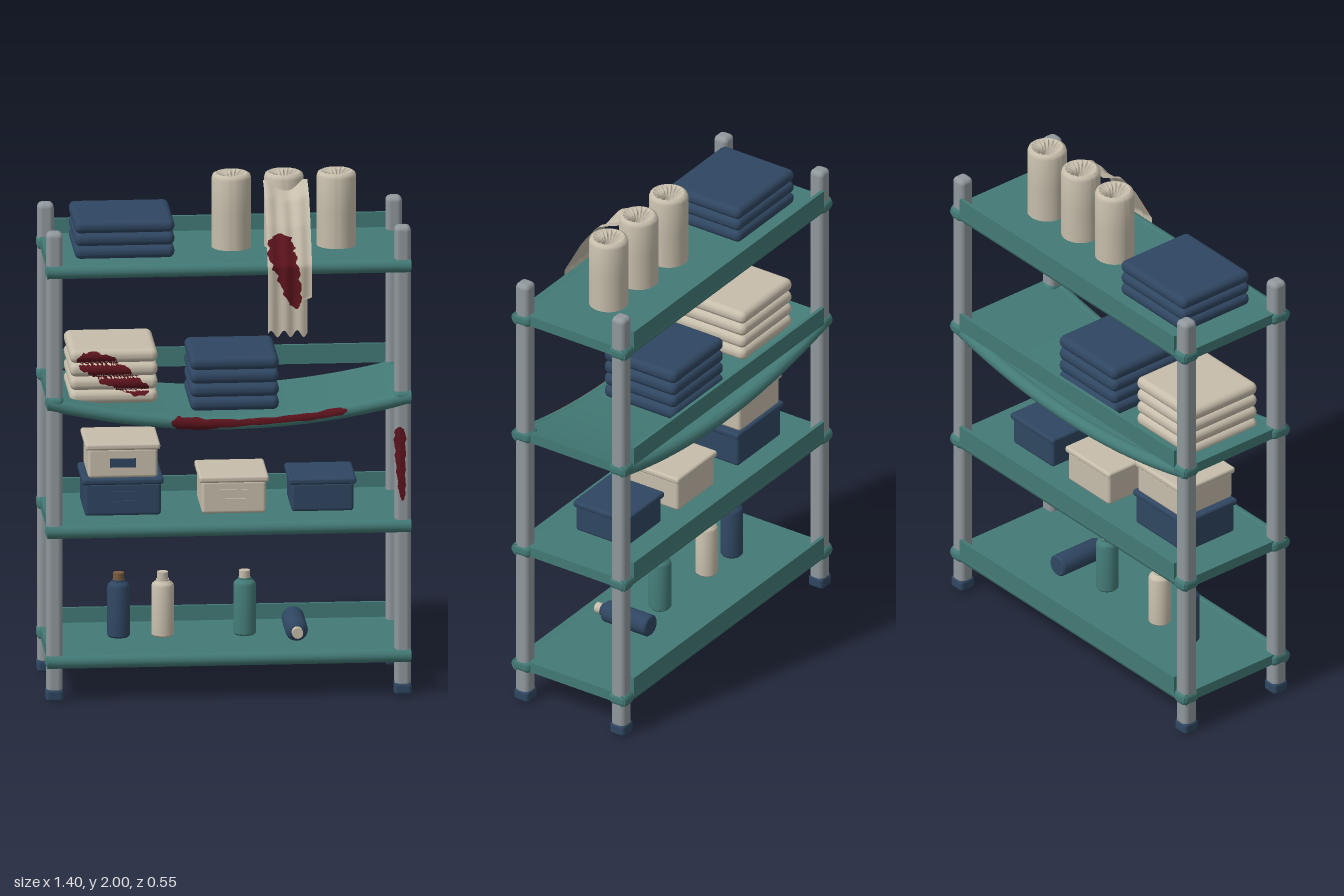
import * as THREE from 'three';
import { RoundedBoxGeometry } from 'three/addons/geometries/RoundedBoxGeometry.js';
import { toCreasedNormals } from 'three/addons/utils/BufferGeometryUtils.js';

const mat = (color, side = THREE.FrontSide) => new THREE.MeshStandardMaterial({ color, side });
const TEAL = mat(0x437a76), NAVY = mat(0x2f4661), BEIGE = mat(0xc6bdab), GREY = mat(0x90989d);
const BROWN = mat(0x7b5b41), RED = mat(0x5c131d, THREE.DoubleSide), CLOTH = mat(0xc6bdab, THREE.DoubleSide);

const POST_X = 0.663, FRONT_Z = 0.207, BACK_Z = -0.236;
const SAG_Y = 1.17;
const sag = (x) => -0.088 * (1 - Math.min(1, (x / 0.69) ** 2));

function add(parent, name, geometry, material, x = 0, y = 0, z = 0) {
  const mesh = new THREE.Mesh(geometry, material);
  mesh.name = name;
  mesh.position.set(x, y, z);
  parent.add(mesh);
  return mesh;
}

function group(parent, name) {
  const g = new THREE.Group();
  g.name = name;
  parent.add(g);
  return g;
}

// Moves every vertex by a rule
function warp(geometry, rule) {
  const p = geometry.attributes.position, v = new THREE.Vector3();
  for (let i = 0; i < p.count; i++) {
    v.fromBufferAttribute(p, i);
    rule(v);
    p.setXYZ(i, v.x, v.y, v.z);
  }
  geometry.computeVertexNormals();
  return geometry;
}

// Shelf: deck, rolled front and back rails, post collars and a back lip
function addShelf(parent, y, bend) {
  const g = group(parent, 'shelf');
  const shape = (geo) => (bend ? warp(geo, (v) => { v.y += sag(v.x); }) : geo);
  add(g, 'shelfDeck', shape(new THREE.BoxGeometry(1.37, 0.042, 0.46, 32, 1, 1)), TEAL, 0, y + 0.004, -0.012);
  for (const z of [0.224, -0.247]) {
    const rail = new THREE.CylinderGeometry(0.027, 0.027, 1.385, 16, 32).rotateZ(Math.PI / 2);
    add(g, 'shelfRail', toCreasedNormals(shape(rail), 0.7), TEAL, 0, y, z);
  }
  for (const x of [-POST_X, POST_X]) for (const z of [FRONT_Z, BACK_Z])
    add(g, 'postCollar', new RoundedBoxGeometry(0.07, 0.055, 0.082, 3, 0.022), TEAL, x, y, z);
  add(g, 'backLip', new THREE.BoxGeometry(1.27, 0.075, 0.014), TEAL, 0, y + 0.045, -0.268);
}

// Stack of folded towels with rounded edges
function addTowels(parent, name, material, x, y, z, w, d, count, step) {
  const g = group(parent, name);
  for (let i = 0; i < count; i++)
    add(g, 'foldedTowel', new RoundedBoxGeometry(w, step, d, 5, step * 0.46), material, x, y + step * (i + 0.5), z);
}

// Lidded storage box with an optional handle frame or solid plate
function addBox(parent, material, x, y, w, h, d, handle) {
  const g = group(parent, 'storageBox');
  g.position.set(x, y, -0.019);
  add(g, 'boxBody', new RoundedBoxGeometry(w - 0.02, h - 0.02, d - 0.015, 3, 0.012), material, 0, (h - 0.02) / 2, 0);
  add(g, 'boxLid', new RoundedBoxGeometry(w, 0.026, d, 3, 0.01), material, 0, h - 0.013, 0);
  const hz = (d - 0.015) / 2, hy = h * 0.5;
  if (handle === 'plate') add(g, 'handlePlate', new THREE.BoxGeometry(0.1, 0.034, 0.012), NAVY, 0, hy - 0.008, hz);
  if (handle === 'frame') {
    for (const s of [-1, 1]) {
      add(g, 'handleFrame', new THREE.BoxGeometry(0.105, 0.006, 0.012), material, 0, hy + s * 0.018, hz);
      add(g, 'handleFrame', new THREE.BoxGeometry(0.006, 0.04, 0.012), material, s * 0.05, hy, hz);
    }
  }
}

// Lathed bottle with a cap
function addBottle(parent, x, y, z, material, capMaterial) {
  const g = group(parent, 'bottle');
  g.position.set(x, y, z);
  const profile = [[0, 0], [0.038, 0], [0.043, 0.006], [0.043, 0.195], [0.04, 0.204], [0.025, 0.216], [0.025, 0.222], [0, 0.222]];
  const body = new THREE.LatheGeometry(profile.map(([r, h]) => new THREE.Vector2(r, h)), 24);
  add(g, 'bottleBody', toCreasedNormals(body, 0.6), material);
  add(g, 'bottleCap', new THREE.CylinderGeometry(0.021, 0.021, 0.034, 18), capMaterial, 0, 0.233, 0);
  return g;
}

// Standing roll with a hollow core and gathered top
function addRoll(parent, x) {
  const profile = [[0, 0], [0.075, 0], [0.075, 0.14], [0.075, 0.272], [0.071, 0.284], [0.06, 0.29], [0.045, 0.288],
    [0.033, 0.28], [0.026, 0.262], [0.026, 0.12], [0, 0.12]];
  const geo = new THREE.LatheGeometry(profile.map(([r, h]) => new THREE.Vector2(r, h)), 64);
  warp(geo, (v) => {
    const r = Math.hypot(v.x, v.z);
    if (v.y > 0.2 && r < 0.058) v.y -= 0.012 * Math.abs(Math.sin(8 * Math.atan2(v.z, v.x)));
  });
  add(parent, 'fabricRoll', toCreasedNormals(geo, 0.9), BEIGE, x, 1.71, 0.015 - 0.03);
}

// Hanging cloth: profile of [z, y] from top to bottom
const DRAPE = [[0.025, 1.967], [0.06, 1.955], [0.12, 1.93], [0.19, 1.84], [0.268, 1.70], [0.27, 1.42]];
const ripple = (x) => 0.004 * Math.sin((x - 0.145) * 110);
function drapeZ(y) {
  for (let i = 1; i < DRAPE.length; i++) {
    const [z0, y0] = DRAPE[i - 1], [z1, y1] = DRAPE[i];
    if (y >= y1) return z0 + (z1 - z0) * Math.max(0, (y0 - y) / (y0 - y1));
  }
  return 0.27;
}
function addDrape(parent) {
  const geo = new THREE.PlaneGeometry(1, 1, 24, 60);
  warp(geo, (v) => {
    const u = v.x + 0.5, t = 0.5 - v.y;
    const y = 1.967 - 0.53 * t;
    const right = y < 1.57 ? 0.296 : 0.314;
    v.x = 0.145 + u * (right - 0.145);
    v.z = drapeZ(y) + ripple(v.x);
    v.y = y + (t > 0.97 ? 0.014 * Math.sin(u * 19) : 0) + 0.012 * Math.cos(u * 6.28) * (1 - t) ** 4;
  });
  add(parent, 'hangingCloth', geo, CLOTH);
}

// Stain: a ragged ribbon of [x, y, halfWidth] stations laid on the surface z = zAt(x, y)
function addStain(parent, name, stations, zAt) {
  const path = new THREE.CatmullRomCurve3(stations.map((s) => new THREE.Vector3(...s)));
  const geo = new THREE.PlaneGeometry(1, 1, 14, 70);
  warp(geo, (v) => {
    const t = 0.5 - v.y, side = v.x * 2;
    const c = path.getPoint(t), d = path.getTangent(t);
    d.z = 0;
    d.normalize();
    const w = Math.max(0.001, c.z) * (1 + 0.1 * Math.sin(t * 47 + side) + 0.06 * Math.sin(t * 90));
    const x = c.x - d.y * side * w, y = c.y + d.x * side * w;
    v.set(x, y, zAt(x, y));
  });
  add(parent, name, geo, RED);
}

export function createModel() {
  const model = new THREE.Group();
  model.name = 'supplyShelf';

  // Posts and feet
  for (const x of [-POST_X, POST_X]) for (const z of [FRONT_Z, BACK_Z]) {
    add(model, 'post', new RoundedBoxGeometry(0.062, 1.81, 0.062, 4, 0.02), GREY, x, 0.935, z);
    add(model, 'foot', new RoundedBoxGeometry(0.068, 0.05, 0.068, 3, 0.014), NAVY, x, 0.025, z);
  }

  // Shelves, the third one sagging
  [0.155, 0.665, SAG_Y, 1.685].forEach((y) => addShelf(model, y, y === SAG_Y));

  // Top shelf
  addTowels(model, 'topTowelStack', NAVY, -0.39, 1.711, -0.015, 0.38, 0.335, 3, 0.05);
  [0.028, 0.228, 0.428].forEach((x) => addRoll(model, x));
  addDrape(model);

  // Sagging shelf
  const beigeY = 1.149, step = 0.053, edge = 0.175;
  addTowels(model, 'lightTowelStack', BEIGE, -0.433, beigeY, 0.008, 0.335, 0.334, 4, step);
  addTowels(model, 'darkTowelStack', NAVY, 0.027, 1.112, 0.008, 0.338, 0.334, 4, step);

  // Storage boxes
  addBox(model, NAVY, -0.394, 0.692, 0.31, 0.148, 0.265, 'frame');
  addBox(model, BEIGE, -0.394, 0.84, 0.285, 0.136, 0.265, 'plate');
  addBox(model, BEIGE, 0.029, 0.692, 0.265, 0.148, 0.265, 'frame');
  addBox(model, NAVY, 0.367, 0.692, 0.257, 0.132, 0.25);

  // Bottles, one lying down
  addBottle(model, -0.402, 0.19, -0.01, NAVY, BROWN);
  addBottle(model, -0.234, 0.19, -0.01, BEIGE, BEIGE);
  addBottle(model, 0.078, 0.19, -0.01, TEAL, BEIGE);
  addBottle(model, 0.268, 0.228, -0.1, NAVY, BEIGE).rotation.x = Math.PI / 2;

  // Stains
  addStain(model, 'clothStain', [[0.195, 1.815, 0.005], [0.196, 1.795, 0.042], [0.2, 1.745, 0.05], [0.218, 1.69, 0.045],
    [0.235, 1.62, 0.036], [0.25, 1.56, 0.022], [0.256, 1.535, 0.004]], (x, y) => drapeZ(y) + ripple(x) + 0.004);
  addStain(model, 'towelStain', [[-0.575, 1.325, 0.004], [-0.555, 1.32, 0.03], [-0.5, 1.305, 0.05], [-0.43, 1.265, 0.05],
    [-0.36, 1.22, 0.036], [-0.31, 1.2, 0.02], [-0.3, 1.195, 0.004]], (x, y) => {
    const r = step * 0.46, off = ((y - beigeY) % step) - step / 2;
    return edge - r + Math.sqrt(Math.max(0, r * r - off * off)) + 0.004;
  });
  const railY = (x) => SAG_Y + sag(x);
  addStain(model, 'shelfStain', [[-0.22, 0.002, 0.004], [-0.2, 0, 0.022], [-0.13, -0.002, 0.024], [0, 0.003, 0.015],
    [0.12, 0.006, 0.012], [0.3, 0.006, 0.013], [0.43, 0.008, 0.012], [0.45, 0.008, 0.003]]
    .map(([x, y, w]) => [x, railY(x) + y, w]),
  (x, y) => 0.225 + Math.sqrt(Math.max(0, 0.029 ** 2 - (y - railY(x)) ** 2)));
  addStain(model, 'postStain', [[0.65, 1.055, 0.003], [0.65, 1.04, 0.018], [0.652, 0.96, 0.02], [0.655, 0.87, 0.016],
    [0.66, 0.79, 0.011], [0.661, 0.765, 0.003]], (x) => FRONT_Z + 0.033 - Math.max(0, Math.abs(x - POST_X) - 0.012) * 0.45);

  return model;
}
